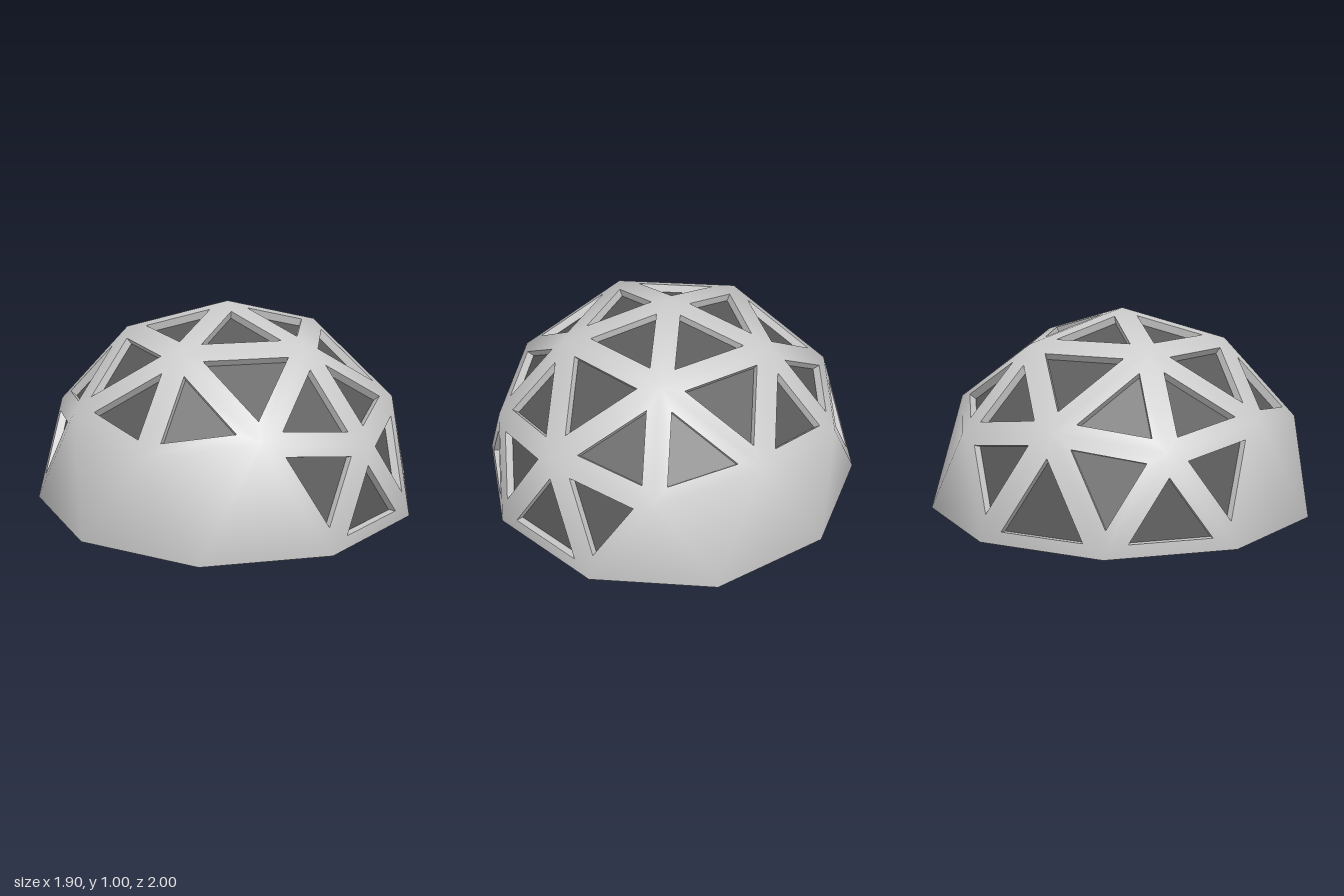
import * as THREE from 'three';

const BORDER = 0.06; // strut half width around each window
const DEPTH = 0.04;  // how far the panes sit behind the shell

// Point on the unit sphere from azimuth (degrees, 0 = +x, 90 = +z) and height
function onSphere(azimuth, y) {
  const a = THREE.MathUtils.degToRad(azimuth);
  const r = Math.sqrt(1 - y * y);
  return new THREE.Vector3(r * Math.cos(a), y, r * Math.sin(a));
}

// Order corners so that the triangle faces outwards
function outward([a, b, c]) {
  const n = b.clone().sub(a).cross(c.clone().sub(a));
  return n.dot(a) > 0 ? [a, b, c] : [a, c, b];
}

// Facets of a two-frequency geodesic hemisphere
function domeFacets() {
  const s5 = Math.sqrt(5);
  const top = new THREE.Vector3(0, 1, 0);
  const upper = (az) => onSphere(az, Math.sqrt((5 + s5) / 10));
  const node = (az) => onSphere(az, 1 / s5);
  const mid = (az) => onSphere(az, Math.sqrt((5 - s5) / 10));
  const base = (az) => onSphere(az, 0);
  const facets = [];
  // The two entrance sides are closed walls in the lowest row
  const isWall = (az) => [72, 252].some((c) => Math.abs(((az + 360) % 360) - c) < 50);
  const add = (corners, az = null) =>
    facets.push({ corners: outward(corners), solid: az !== null && isWall(az) });

  for (let az = 0; az < 360; az += 72) {
    add([top, upper(az), upper(az + 72)]);
    add([upper(az), upper(az + 72), mid(az + 36)]);
    for (const s of [-1, 1]) {
      add([upper(az), node(az), mid(az + 36 * s)]);
      add([node(az), mid(az + 36 * s), base(az + 18 * s)], az + 18 * s);
    }
    add([node(az), base(az - 18), base(az + 18)], az);
    add([mid(az + 36), base(az + 18), base(az + 54)], az + 36);
  }
  return facets;
}

// Window outline: the facet shrunk about its incentre by an even border
function windowOutline([a, b, c]) {
  const la = b.distanceTo(c), lb = c.distanceTo(a), lc = a.distanceTo(b);
  const perimeter = la + lb + lc;
  const centre = new THREE.Vector3()
    .addScaledVector(a, la / perimeter)
    .addScaledVector(b, lb / perimeter)
    .addScaledVector(c, lc / perimeter);
  const area2 = b.clone().sub(a).cross(c.clone().sub(a)).length();
  const scale = 1 - BORDER / (area2 / perimeter);
  return [a, b, c].map((p) => centre.clone().lerp(p, scale));
}

// Collects triangles and quads into one geometry
class Surface {
  points = [];
  tri(...p) { this.points.push(...p); }
  quad(a, b, c, d) { this.tri(a, b, c, a, c, d); }
  build(smooth) {
    const geometry = new THREE.BufferGeometry().setFromPoints(this.points);
    if (smooth) {
      const normals = this.points.flatMap((p) => p.clone().normalize().toArray());
      geometry.setAttribute('normal', new THREE.Float32BufferAttribute(normals, 3));
    } else geometry.computeVertexNormals();
    return geometry;
  }
}

export function createModel() {
  const shell = new Surface(), reveals = new Surface(), panes = new Surface();

  for (const { corners, solid } of domeFacets()) {
    if (solid) {
      shell.tri(...corners);
      continue;
    }
    const rim = windowOutline(corners);
    const normal = new THREE.Triangle(...corners).getNormal(new THREE.Vector3());
    const back = rim.map((p) => p.clone().addScaledVector(normal, -DEPTH));
    for (let i = 0; i < 3; i++) {
      const j = (i + 1) % 3;
      shell.quad(corners[i], corners[j], rim[j], rim[i]);
      reveals.quad(rim[i], rim[j], back[j], back[i]);
    }
    panes.tri(...back);
  }

  const grey = new THREE.MeshStandardMaterial({ color: 0xcccccc, side: THREE.DoubleSide });
  const dark = new THREE.MeshStandardMaterial({ color: 0x5a5a5a, side: THREE.DoubleSide });
  const model = new THREE.Group();
  model.name = 'geodesicDome';
  const addPart = (name, geometry, material) => {
    const mesh = new THREE.Mesh(geometry, material);
    mesh.name = name;
    model.add(mesh);
  };
  addPart('domeShell', shell.build(true), grey);
  addPart('windowReveals', reveals.build(false), grey);
  addPart('windowPanes', panes.build(false), dark);
  return model;
}
